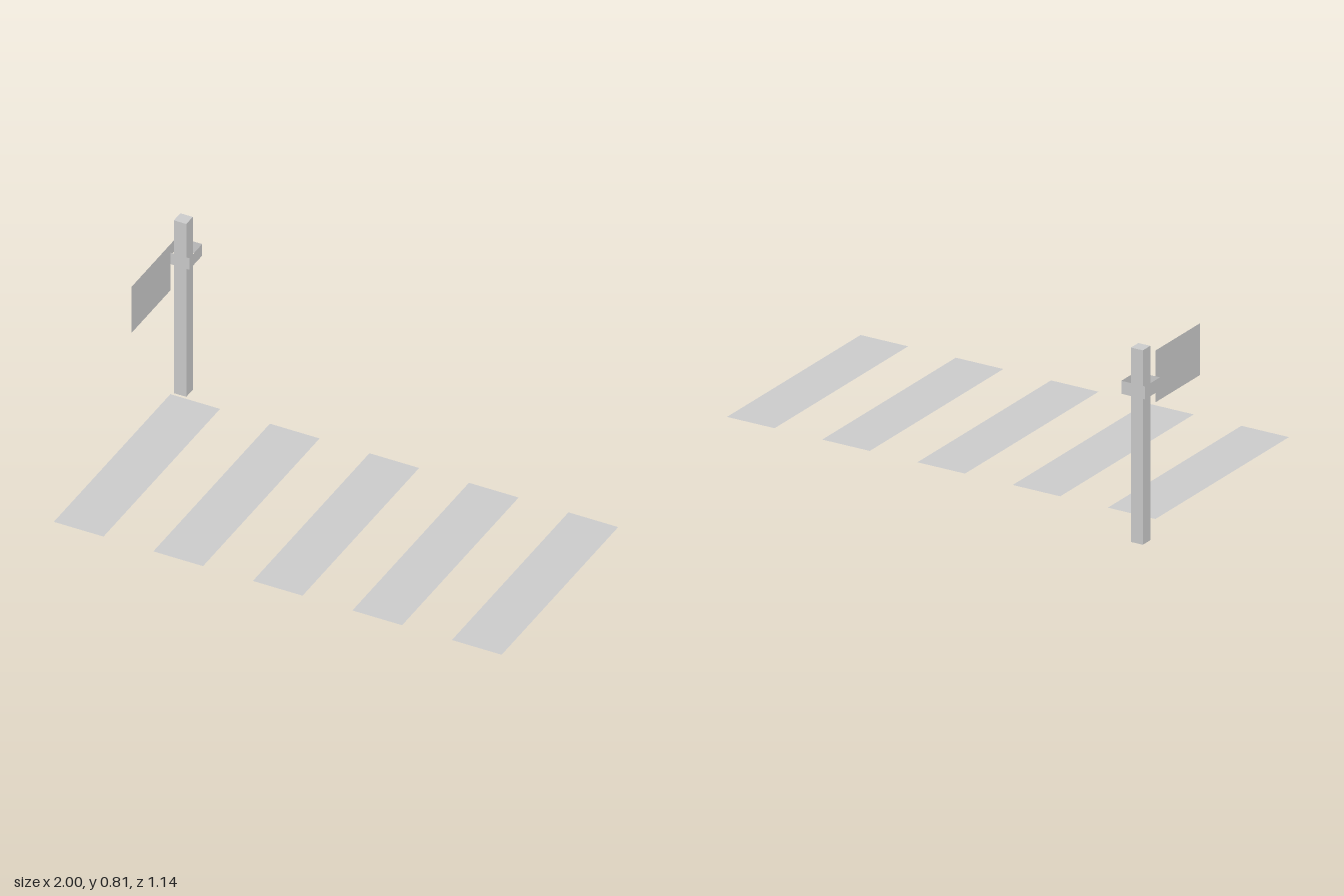
import * as THREE from 'three';

const U = 2 / 37; // one grid unit: the layout is 37 units long, 21 deep
const X0 = -1, Z0 = -10.5 * U;

export function createModel() {
  const model = new THREE.Group();
  model.name = 'crosswalk';
  const solid = new THREE.MeshStandardMaterial({ color: 0xcccccc, flatShading: true });
  const sheet = new THREE.MeshStandardMaterial({ color: 0xcccccc, flatShading: true, side: THREE.DoubleSide });

  // Places a mesh by grid units measured from the back right corner
  const add = (name, geometry, material, x, y, z, parent = model) => {
    const mesh = new THREE.Mesh(geometry, material);
    mesh.name = name;
    mesh.position.set(X0 + x * U, y * U, Z0 + z * U);
    parent.add(mesh);
    return mesh;
  };

  // Five flat road stripes
  const stripes = new THREE.Group();
  stripes.name = 'stripes';
  model.add(stripes);
  const stripe = new THREE.PlaneGeometry(4 * U, 18 * U).rotateX(-Math.PI / 2);
  for (let i = 0; i < 5; i++) add(`stripe${i + 1}`, stripe, sheet, 3 + 8 * i, 1, 12, stripes);

  // Square signal post
  add('post', new THREE.BoxGeometry(U, 15 * U, U), solid, 1, 7.5, 1);

  // Open square collar around the post
  const r = Math.SQRT2 * U;
  const collar = new THREE.CylinderGeometry(r, r, U, 4, 1, true).rotateY(Math.PI / 4);
  add('collar', collar, sheet, 1, 12, 1);

  // Thin sign panel in line with the post
  const panel = new THREE.PlaneGeometry(6 * U, 4 * U).rotateY(-Math.PI / 2);
  add('signPanel', panel, sheet, 1, 12, 6);

  return model;
}
